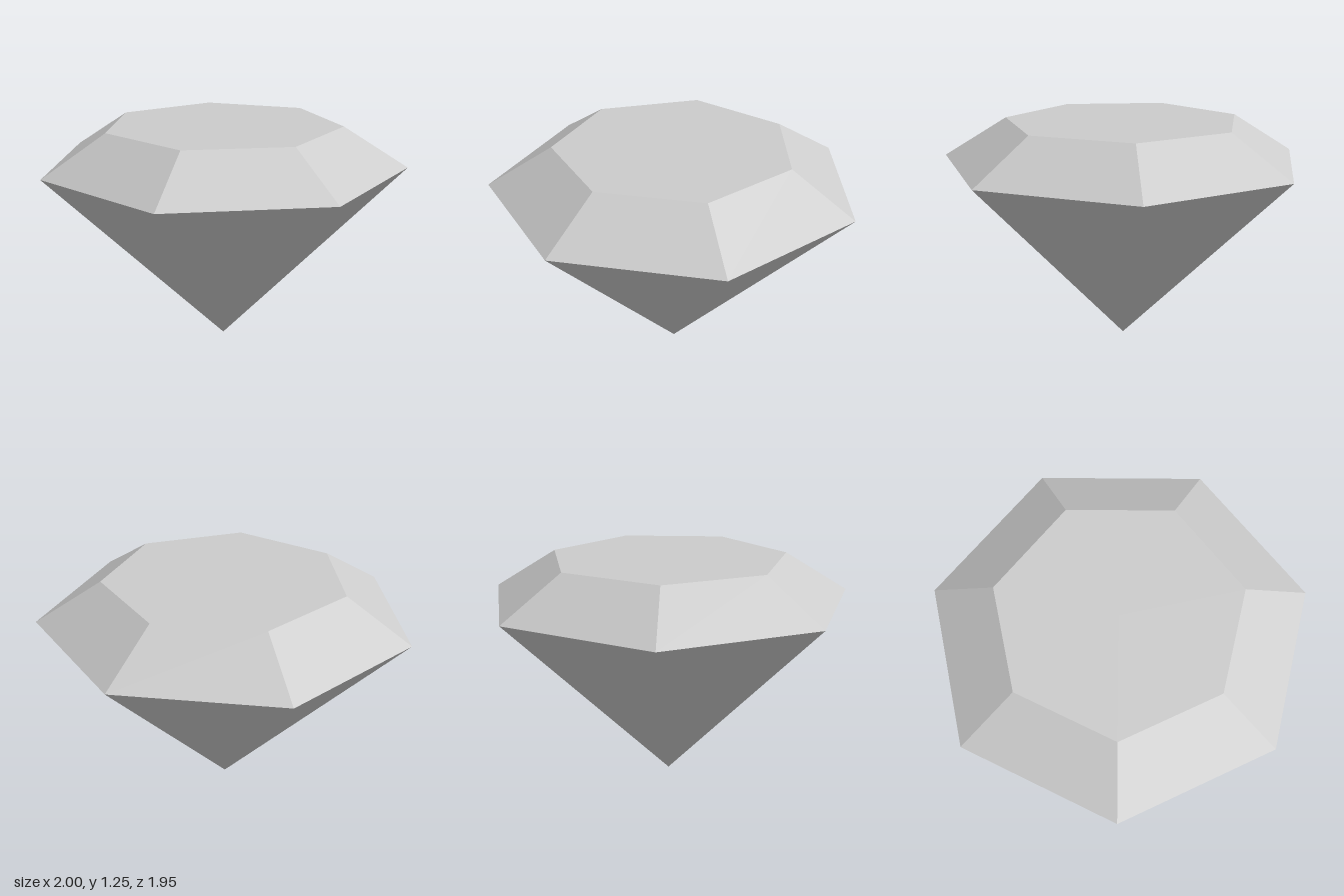
import * as THREE from 'three';

const SIDES = 7;
const GIRDLE_RADIUS = 1.0257;
const TABLE_RADIUS = 0.667;
const GIRDLE_Y = 1.026;
const TOP_Y = 1.25;
const CENTER_Z = -0.051; // a seven-sided outline is not symmetric front to back

export function createModel() {
  const gem = new THREE.Group();
  gem.name = 'gem';

  const gray = new THREE.MeshStandardMaterial({ color: 0xcccccc, flatShading: true });
  gray.name = 'light gray';

  // One faceted layer between two heights, with a corner facing +z
  const addLayer = (name, topRadius, bottomRadius, y0, y1) => {
    const geometry = new THREE.CylinderGeometry(topRadius, bottomRadius, y1 - y0, SIDES, 1, true);
    const mesh = new THREE.Mesh(geometry, gray);
    mesh.name = name;
    mesh.position.set(0, (y0 + y1) / 2, CENTER_Z);
    gem.add(mesh);
  };

  // Pointed lower half and bevelled upper rim
  addLayer('pavilion', GIRDLE_RADIUS, 0, 0, GIRDLE_Y);
  addLayer('crown', TABLE_RADIUS, GIRDLE_RADIUS, GIRDLE_Y, TOP_Y);

  // Flat top facet
  const table = new THREE.Mesh(
    new THREE.CircleGeometry(TABLE_RADIUS, SIDES, -Math.PI / 2).rotateX(-Math.PI / 2),
    gray
  );
  table.name = 'table';
  table.position.set(0, TOP_Y, CENTER_Z);
  gem.add(table);

  return gem;
}
